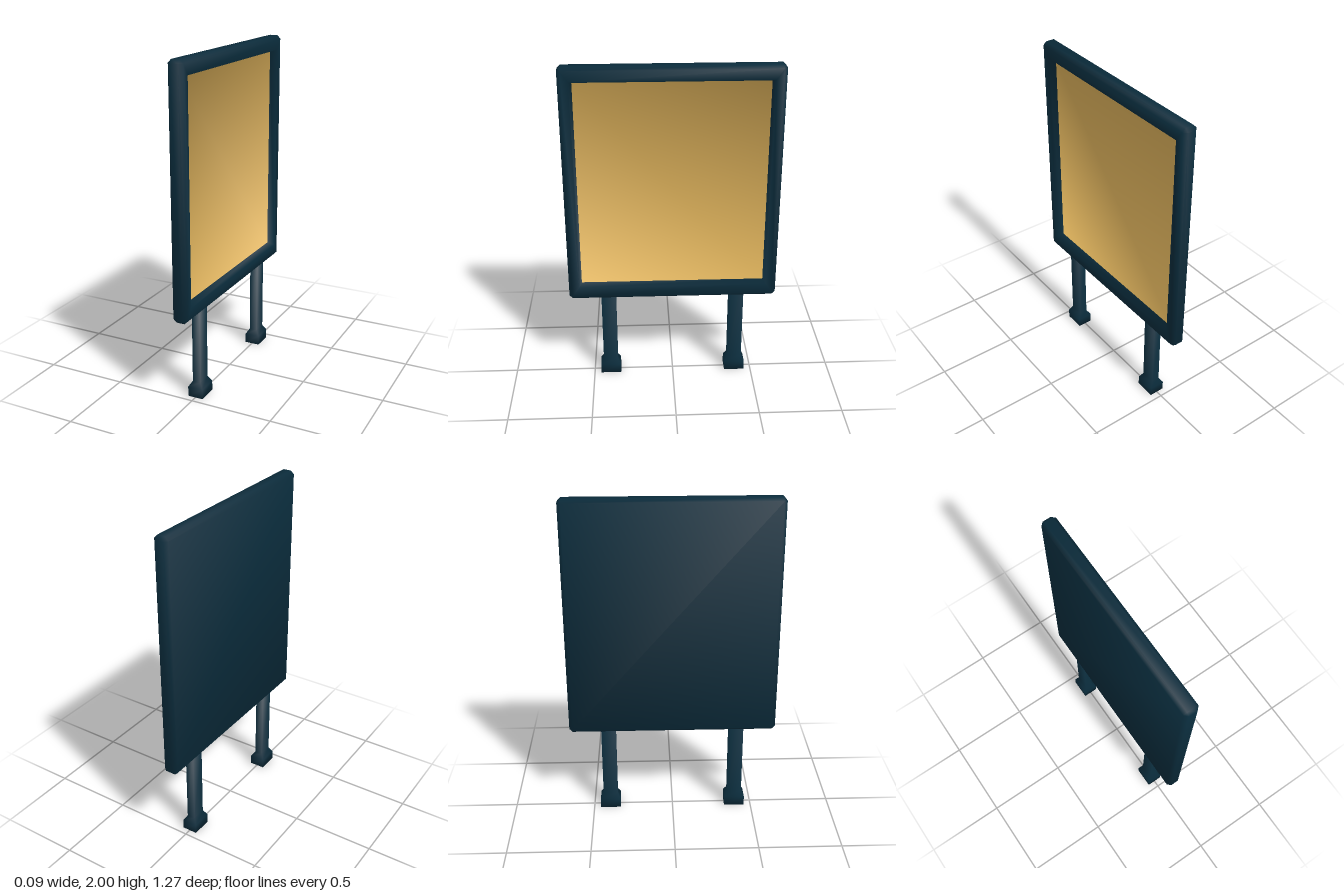
import * as THREE from 'three';
import { mergeVertices } from 'three/addons/utils/BufferGeometryUtils.js';

// Soft normals: every face counts by its angle at the corner, not by its area
function softNormals(g) {
  const pos = g.attributes.position, idx = g.index.array;
  const sums = Array.from({ length: pos.count }, () => new THREE.Vector3());
  for (let t = 0; t < idx.length; t += 3) {
    const ids = [idx[t], idx[t + 1], idx[t + 2]];
    const pts = ids.map((i) => new THREE.Vector3().fromBufferAttribute(pos, i));
    const tri = new THREE.Triangle(...pts);
    if (tri.getArea() < 1e-9) continue;
    const normal = tri.getNormal(new THREE.Vector3());
    ids.forEach((id, k) => {
      const e1 = pts[(k + 1) % 3].clone().sub(pts[k]);
      const e2 = pts[(k + 2) % 3].clone().sub(pts[k]);
      sums[id].addScaledVector(normal, e1.angleTo(e2));
    });
  }
  const flat = sums.flatMap((v) => v.normalize().toArray());
  g.setAttribute('normal', new THREE.Float32BufferAttribute(flat, 3));
  return g;
}

// Smooth solid along +z through rectangles [z, halfX, halfY, cornerCut], capped at both ends.
// Group 0 is the body, group 1 the end cap.
function loft(sections) {
  const pos = [], idx = [], n = 8;
  for (const [z, a, b, c] of sections) {
    const ring = [
      [a, -b + c], [a, b - c], [a - c, b], [-a + c, b],
      [-a, b - c], [-a, -b + c], [-a + c, -b], [a - c, -b],
    ];
    for (const [x, y] of ring) pos.push(x, y, z);
  }
  for (let i = 1; i < n - 1; i++) idx.push(0, i + 1, i);
  for (let s = 0; s < sections.length - 1; s++) {
    for (let i = 0; i < n; i++) {
      const p = s * n + i, q = s * n + (i + 1) % n;
      idx.push(p, q, q + n, p, q + n, p + n);
    }
  }
  const body = idx.length, last = (sections.length - 1) * n;
  for (let i = 1; i < n - 1; i++) idx.push(last, last + i, last + i + 1);
  const g = new THREE.BufferGeometry();
  g.setAttribute('position', new THREE.Float32BufferAttribute(pos, 3));
  g.setIndex(idx);
  const merged = softNormals(mergeVertices(g));
  merged.addGroup(0, body, 0);
  merged.addGroup(body, idx.length - body, 1);
  return merged;
}

export function createModel() {
  const group = new THREE.Group();
  const frameMat = new THREE.MeshStandardMaterial({ color: 0x0a2c3c });
  frameMat.name = 'dark teal';
  const panelMat = new THREE.MeshStandardMaterial({ color: 0xe4b75e });
  panelMat.name = 'gold';

  const add = (name, geometry, capMat, x, y, z) => {
    const mesh = new THREE.Mesh(geometry, [frameMat, capMat]);
    mesh.name = name;
    mesh.position.set(x, y, z);
    group.add(mesh);
  };

  // Bevelled board; its +x side sinks through sloping walls to the gold display panel
  const W = 0.635, H = 0.7275, B = 0.02;
  const board = loft([
    [-0.045, W - B, H - B, 0],
    [-0.025, W, H, B],
    [0.025, W, H, B],
    [0.045, W - B, H - B, 0],
    [0.045, 0.572, 0.645, 0],
    [0.002, 0.557, 0.63, 0],
  ]);
  board.rotateY(Math.PI / 2);
  add('boardWithDisplayPanel', board, panelMat, 0, 1.2725, 0);

  // Two flat posts, each flaring into a foot
  const post = loft([
    [0, 0.047, 0.063, 0],
    [0.06, 0.047, 0.063, 0],
    [0.095, 0.025, 0.045, 0],
    [0.57, 0.025, 0.045, 0],
  ]);
  post.rotateX(-Math.PI / 2);
  add('frontPost', post, frameMat, 0, 0, 0.395);
  add('backPost', post, frameMat, 0, 0, -0.395);

  return group;
}
